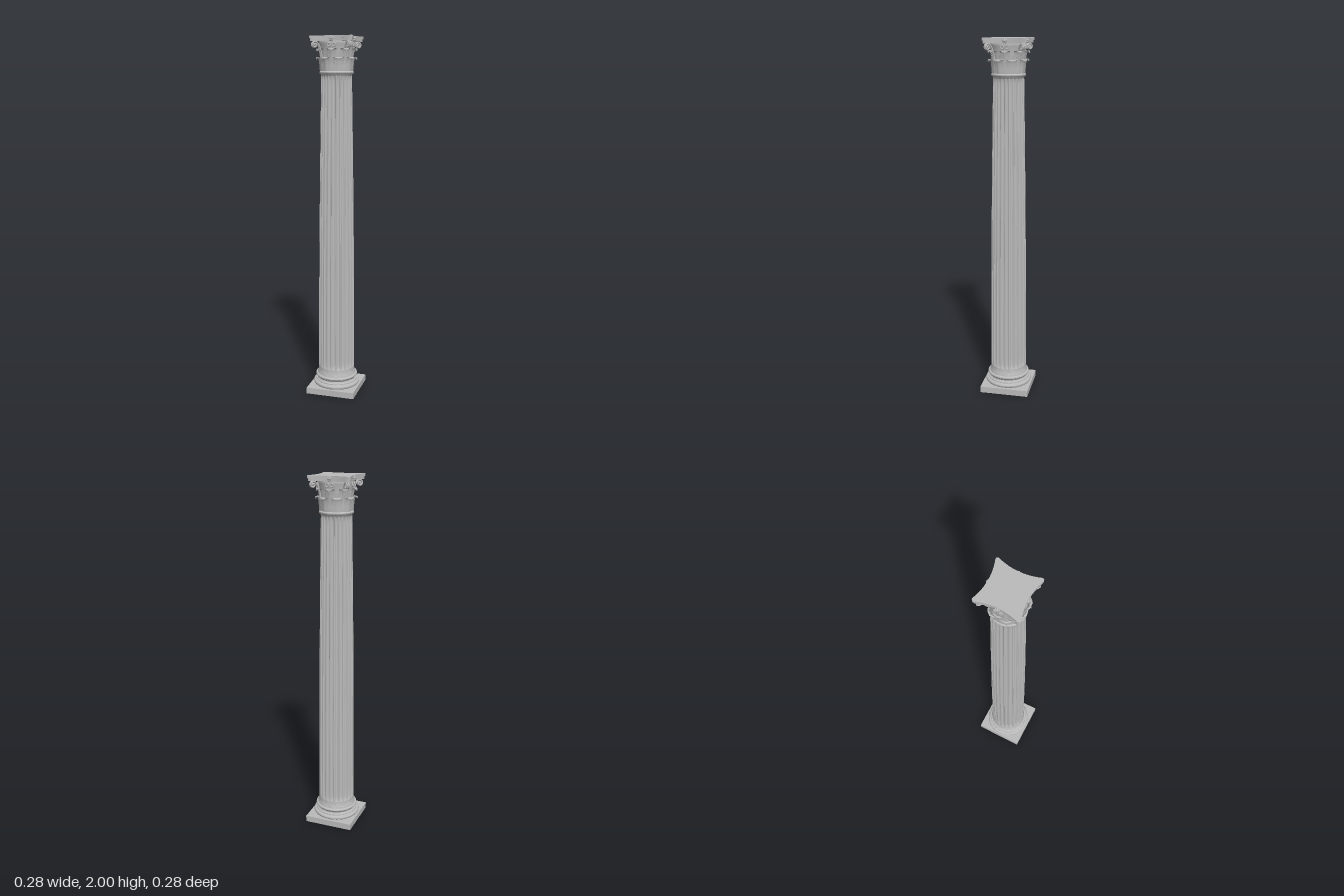
import * as THREE from 'three';
import { toCreasedNormals } from 'three/addons/utils/BufferGeometryUtils.js';

const stone = new THREE.MeshStandardMaterial({ color: 0xbababa, side: THREE.DoubleSide });
stone.name = 'stone';

function add(parent, name, geometry, x = 0, y = 0, z = 0) {
  const mesh = new THREE.Mesh(geometry, stone);
  mesh.name = name;
  mesh.position.set(x, y, z);
  parent.add(mesh);
  return mesh;
}

const lathe = (pts, crease = 0.7) =>
  toCreasedNormals(new THREE.LatheGeometry(pts.map(([r, y]) => new THREE.Vector2(r, y)), 64), crease);

// Half-round moulding bulging out from radius r between two heights
function bulge(r, y0, y1, depth, n = 8) {
  return Array.from({ length: n + 1 }, (_, i) => {
    const a = (i / n) * Math.PI;
    return [r + depth * Math.sin(a), (y0 + y1) / 2 - ((y1 - y0) / 2) * Math.cos(a)];
  });
}

// Shaft: 24 flutes cut into a gently swelling taper, fading out at both ends
function shaftGeometry() {
  const y0 = 0.14, y1 = 1.795, flutes = 24, per = 10, rows = 24;
  const g = new THREE.CylinderGeometry(1, 1, 1, flutes * per, rows, true);
  const p = g.attributes.position;
  for (let i = 0; i < p.count; i++) {
    const t = p.getY(i) + 0.5;
    const a = Math.atan2(p.getX(i), p.getZ(i));
    // crowd the rows towards the ends so the flutes stop neatly
    const s = 0.5 - 0.5 * Math.cos(Math.PI * t);
    const radius = 0.102 - 0.019 * Math.pow(s, 1.6);
    const phase = (((a / (Math.PI * 2)) * flutes) % 1 + 1) % 1;
    const k = (phase - 0.5) / 0.4;
    const cut = Math.abs(k) < 0.99 ? Math.sqrt(1 - k * k) : 0;
    const fade = Math.min(1, Math.min(s, 1 - s) / 0.008);
    const r = radius - 0.008 * cut * fade;
    p.setXYZ(i, Math.sin(a) * r, y0 + (y1 - y0) * s, Math.cos(a) * r);
  }
  return toCreasedNormals(g, 0.6);
}

// Leaf: lobed sheet following a curling profile of [radius, height] points
function leafGeometry(profile, halfWidth) {
  const curve = new THREE.CatmullRomCurve3(profile.map(([r, y]) => new THREE.Vector3(r, y, 0)));
  const g = new THREE.PlaneGeometry(2, 1, 8, 24);
  const p = g.attributes.position;
  for (let i = 0; i < p.count; i++) {
    const u = p.getX(i), v = p.getY(i) + 0.5;
    const c = curve.getPoint(v);
    const lobes = 0.76 + 0.24 * Math.abs(Math.sin(v * Math.PI * 3.5 + 0.8));
    const w = halfWidth * lobes * (1 - 0.85 * Math.pow(v, 4));
    const rib = 0.004 * Math.pow(1 - Math.abs(u), 2) + 0.0012 * Math.cos(u * Math.PI * 3);
    const a = (u * w) / c.x;
    const r = c.x + rib;
    p.setXYZ(i, Math.sin(a) * r, c.y, Math.cos(a) * r);
  }
  g.computeVertexNormals();
  return g;
}

// Abacus slab with four concave sides and rounded horns
function abacusGeometry(scale, height) {
  const s = new THREE.Shape();
  const spin = (x, y, k) => {
    for (let i = 0; i < k; i++) [x, y] = [-y, x];
    return [x * scale, y * scale];
  };
  s.moveTo(...spin(0.105, 0.118, 0));
  for (let k = 0; k < 4; k++) {
    s.quadraticCurveTo(...spin(0, 0.08, k), ...spin(-0.105, 0.118, k));
    s.quadraticCurveTo(...spin(-0.121, 0.121, k), ...spin(-0.118, 0.105, k));
  }
  const g = new THREE.ExtrudeGeometry(s, { depth: height, bevelEnabled: false, curveSegments: 14 });
  g.rotateX(-Math.PI / 2);
  return toCreasedNormals(g, 0.6);
}

// Volute: stem rising from the bell and winding into a spiral under a horn
function voluteGeometry() {
  const pts = [[0.09, 1.88], [0.098, 1.925], [0.112, 1.955]].map(([r, y]) => new THREE.Vector3(0, y, r));
  for (let i = 0; i <= 14; i++) {
    const a = 2.0 - i * 0.6, r = 0.017 * (1 - i / 17);
    pts.push(new THREE.Vector3(0, 1.952 + r * Math.sin(a), 0.132 + r * Math.cos(a)));
  }
  return new THREE.TubeGeometry(new THREE.CatmullRomCurve3(pts), 70, 0.0045, 8);
}

export function createModel() {
  const column = new THREE.Group();
  column.name = 'column';

  // Base
  const base = new THREE.Group();
  base.name = 'base';
  column.add(base);
  add(base, 'plinth', new THREE.BoxGeometry(0.277, 0.035, 0.277), 0, 0.0175, 0);
  add(base, 'baseMouldings', lathe([
    ...bulge(0.12, 0.035, 0.06, 0.012),
    [0.117, 0.06], [0.117, 0.065], [0.11, 0.068], [0.107, 0.074], [0.109, 0.08], [0.113, 0.083],
    ...bulge(0.112, 0.084, 0.1, 0.007),
    [0.108, 0.1], [0.108, 0.107], [0.104, 0.112], [0.1025, 0.12], [0.102, 0.14], [0.09, 0.141],
  ]));

  add(column, 'flutedShaft', shaftGeometry());

  // Capital
  const capital = new THREE.Group();
  capital.name = 'capital';
  column.add(capital);
  add(capital, 'neckRing', lathe([
    [0.08, 1.79], [0.083, 1.793], [0.085, 1.8], ...bulge(0.086, 1.801, 1.817, 0.007), [0.082, 1.818],
  ]));
  add(capital, 'bell', lathe([
    [0.083, 1.815], [0.0835, 1.85], [0.085, 1.89], [0.088, 1.93], [0.093, 1.958], [0.095, 1.966], [0.093, 1.974],
  ]));

  const lowerLeaf = leafGeometry([[0.0855, 1.816], [0.088, 1.85], [0.092, 1.876], [0.1, 1.89], [0.106, 1.886], [0.107, 1.878]], 0.036);
  const upperLeaf = leafGeometry([[0.0845, 1.82], [0.087, 1.87], [0.092, 1.91], [0.1, 1.932], [0.109, 1.934], [0.111, 1.922]], 0.034);
  for (let i = 0; i < 8; i++) {
    add(capital, 'lowerLeaf', lowerLeaf).rotation.y = ((i + 0.5) * Math.PI) / 4;
    add(capital, 'upperLeaf', upperLeaf).rotation.y = (i * Math.PI) / 4;
  }

  // Corner volutes, small inner scrolls and side flowers
  const volute = voluteGeometry();
  const eye = new THREE.SphereGeometry(0.007, 12, 8);
  const scroll = new THREE.TorusGeometry(0.009, 0.0032, 8, 20);
  const petal = new THREE.SphereGeometry(0.006, 10, 8);
  for (let i = 0; i < 4; i++) {
    const corner = new THREE.Group();
    corner.name = 'cornerVolute';
    corner.rotation.y = Math.PI / 4 + (i * Math.PI) / 2;
    capital.add(corner);
    for (const side of [-1, 1]) add(corner, 'voluteScroll', volute, side * 0.0055);
    add(corner, 'voluteEye', eye, 0, 1.952, 0.132);

    const face = new THREE.Group();
    face.name = 'sideOrnament';
    face.rotation.y = (i * Math.PI) / 2;
    capital.add(face);
    for (const side of [-1, 1]) add(face, 'innerScroll', scroll, side * 0.014, 1.953, 0.096);
    add(face, 'flowerHeart', petal, 0, 1.985, 0.103);
    for (let k = 0; k < 5; k++) {
      const a = Math.PI / 2 + (k * Math.PI * 2) / 5;
      add(face, 'flowerPetal', petal, Math.cos(a) * 0.008, 1.985 + Math.sin(a) * 0.008, 0.099);
    }
  }

  add(capital, 'abacusLower', abacusGeometry(0.965, 0.014), 0, 1.972, 0);
  add(capital, 'abacusUpper', abacusGeometry(1, 0.014), 0, 1.986, 0);
  return column;
}
